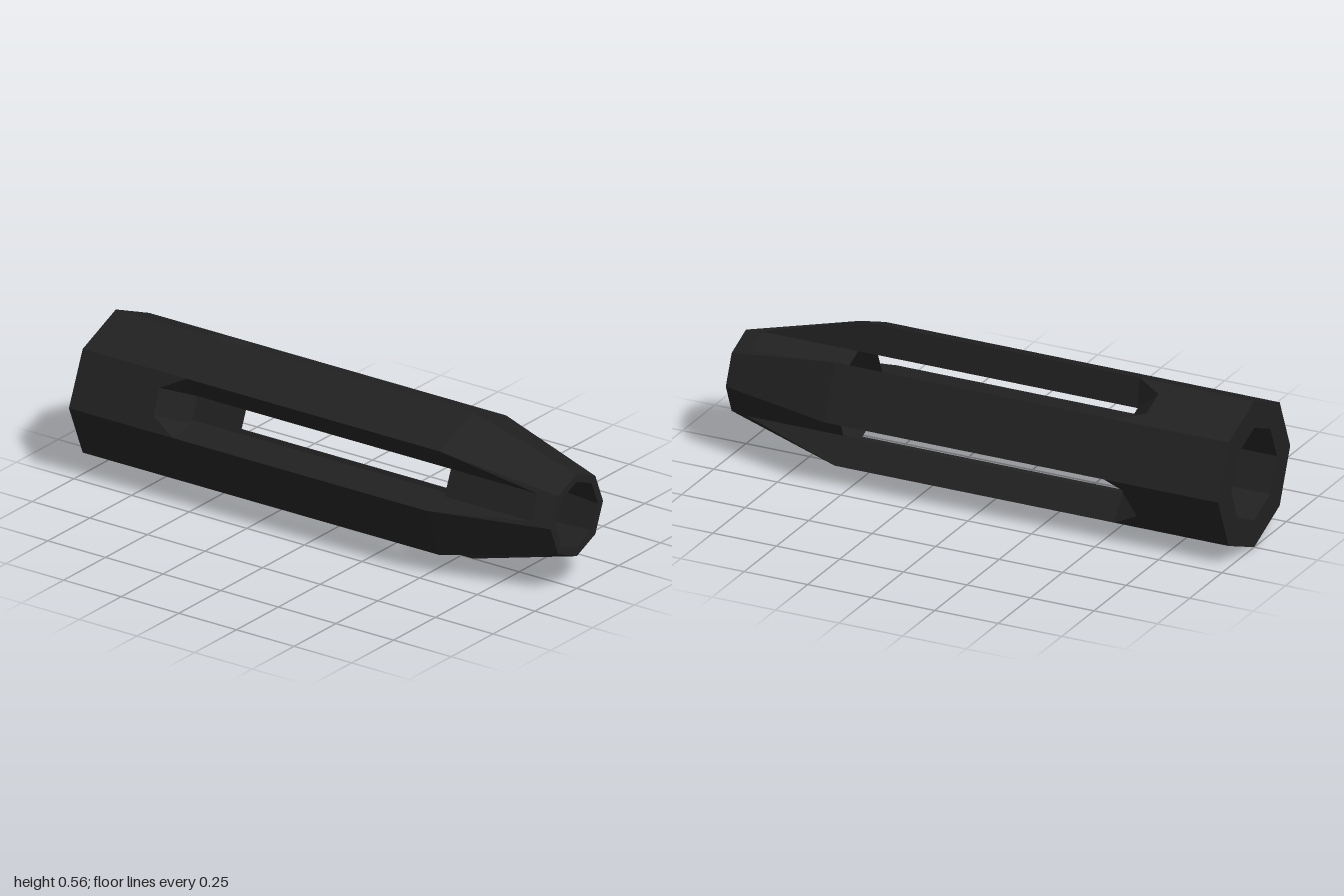
import * as THREE from 'three';

const R = 0.28 * Math.cos(Math.PI / 8);      // outer flat distance
const RT = 0.157 * Math.cos(Math.PI / 8);    // outer flat distance at the tip
const B = 0.177 * Math.cos(Math.PI / 8);     // bore
const BT = 0.127 * Math.cos(Math.PI / 8);    // bore at the tip
const half = (r) => r * Math.tan(Math.PI / 8); // half width of an octagon side
const W = 0.05;                              // half width of the slot floor
const X0 = -1, XE = -0.65, XS = -0.55, XC = 0.55, X1 = 1;
const XF = XC + (X1 - XC) * (R - B) / (R - RT); // where the slot runs out of the taper

// Collects flat convex polygons given as [x, radial distance, sideways offset]
class Faces {
  constructor(name) { this.name = name; this.pos = []; }
  add(angle, ...pts) {
    const s = Math.sin(angle), c = Math.cos(angle);
    const p = pts.map(([x, r, t]) => [x, 0.28 + r * s + t * c, r * c - t * s]);
    for (let i = 1; i < p.length - 1; i++) this.pos.push(...p[0], ...p[i], ...p[i + 1]);
  }
  // polygon plus its mirror image across the middle of the side
  pair(angle, ...pts) {
    this.add(angle, ...pts);
    this.add(angle, ...pts.map(([x, r, t]) => [x, r, -t]).reverse());
  }
  mesh(material) {
    const g = new THREE.BufferGeometry();
    g.setAttribute('position', new THREE.Float32BufferAttribute(this.pos, 3));
    g.computeVertexNormals();
    const m = new THREE.Mesh(g, material);
    m.name = this.name;
    return m;
  }
}

export function createModel() {
  const group = new THREE.Group();
  group.name = 'slottedTube';
  const blackMetal = new THREE.MeshStandardMaterial({ color: 0x212121 });
  blackMetal.name = 'blackMetal';

  const shell = new Faces('outerShell'), slots = new Faces('slotWalls');
  const bore = new Faces('bore'), rims = new Faces('endRims');
  const H = half(R), HT = half(RT), HB = half(B), HBT = half(BT);

  for (let k = 0; k < 8; k++) {
    const a = Math.PI / 8 + k * Math.PI / 4;

    // end rims
    rims.add(a, [X0, R, -H], [X0, R, H], [X0, B, HB], [X0, B, -HB]);
    rims.add(a, [X1, RT, HT], [X1, RT, -HT], [X1, BT, -HBT], [X1, BT, HBT]);
    // narrowing bore inside the tip
    bore.add(a, [XC, B, HB], [X1, BT, HBT], [X1, BT, -HBT], [XC, B, -HB]);

    if (k % 2) {
      // solid side
      shell.add(a, [X0, R, -H], [XC, R, -H], [XC, R, H], [X0, R, H]);
      shell.add(a, [XC, R, -H], [X1, RT, -HT], [X1, RT, HT], [XC, R, H]);
      bore.add(a, [X0, B, HB], [XC, B, HB], [XC, B, -HB], [X0, B, -HB]);
      continue;
    }

    // shell around the slot
    shell.add(a, [X0, R, -H], [XE, R, -W], [XE, R, W], [X0, R, H]);
    shell.pair(a, [X0, R, -H], [XS, R, -H], [XE, R, -W]);
    shell.pair(a, [XC, R, -H], [X1, RT, -HT], [XF, B, -W]);
    shell.add(a, [XF, B, -W], [X1, RT, -HT], [X1, RT, HT], [XF, B, W]);

    // slot sides, sloped rear end and front floor
    slots.pair(a, [XS, R, -H], [XC, R, -H], [XC, B, -W], [XS, B, -W]);
    slots.pair(a, [XC, R, -H], [XF, B, -W], [XC, B, -W]);
    slots.pair(a, [XS, R, -H], [XS, B, -W], [XE, R, -W]);
    slots.add(a, [XE, R, -W], [XS, B, -W], [XS, B, W], [XE, R, W]);
    slots.add(a, [XC, B, -W], [XF, B, -W], [XF, B, W], [XC, B, W]);

    // bore behind the slot and along its edges
    bore.add(a, [X0, B, HB], [XS, B, HB], [XS, B, -HB], [X0, B, -HB]);
    bore.pair(a, [XS, B, HB], [XC, B, HB], [XC, B, W], [XS, B, W]);
  }

  for (const part of [shell, slots, bore, rims]) group.add(part.mesh(blackMetal));
  return group;
}
